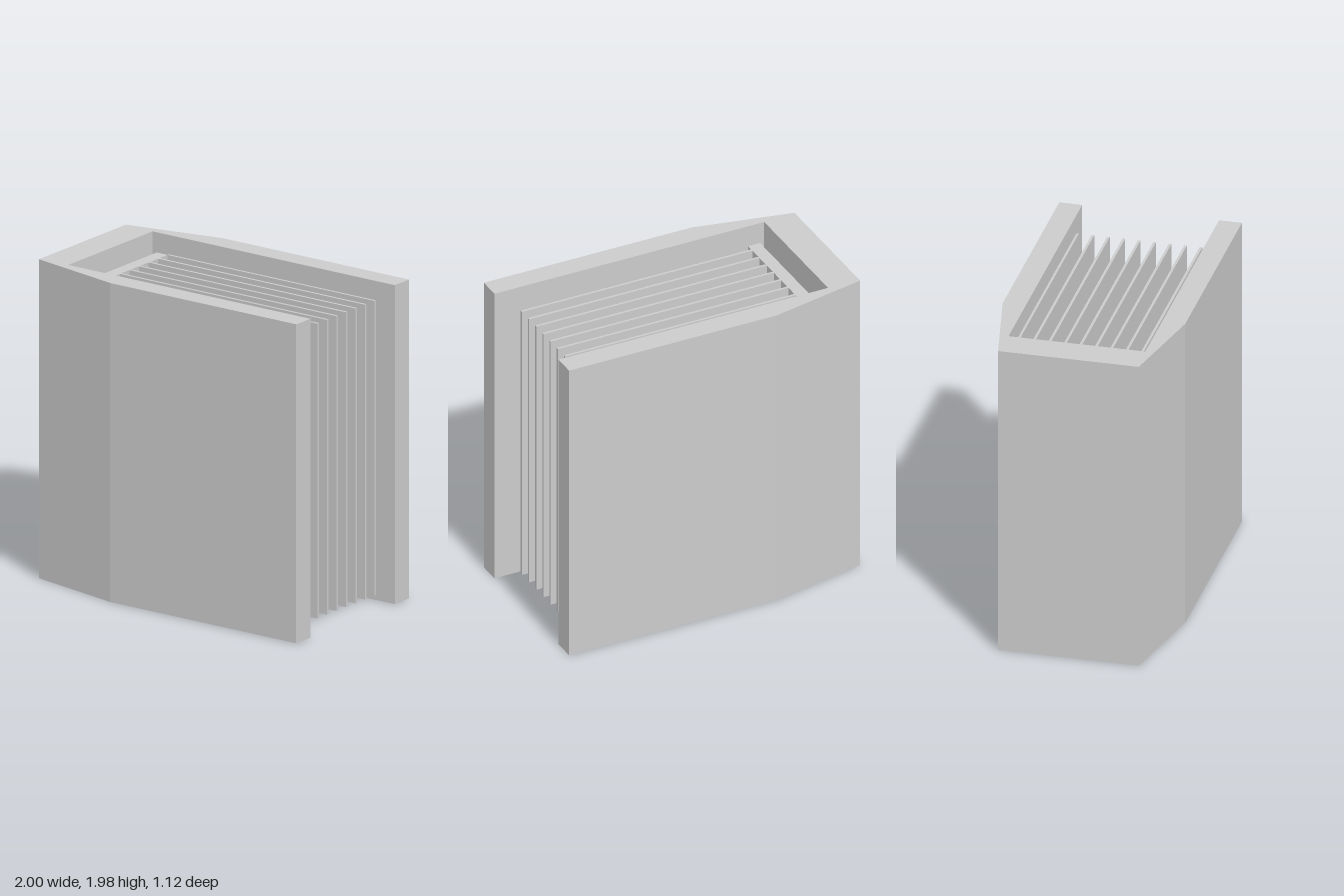
import * as THREE from 'three';

const material = new THREE.MeshStandardMaterial({ color: 0xcccccc, flatShading: true });

// Box given by its minimum and maximum corners
function box(name, min, max) {
  const size = max.map((v, i) => v - min[i]);
  const mesh = new THREE.Mesh(new THREE.BoxGeometry(...size), material);
  mesh.position.set(...max.map((v, i) => (v + min[i]) / 2));
  mesh.name = name;
  return mesh;
}

export function createModel() {
  const model = new THREE.Group();
  model.name = 'book';

  // Cover: C-shaped plan with tapered spine, open towards +x
  const half = [[-1, 0.43], [-0.38, 0.558], [1, 0.558], [1, 0.418], [-0.793, 0.418]];
  const mirrored = half.map(([x, z]) => [x, -z]).reverse();
  const outline = new THREE.Shape([...half, ...mirrored].map(([x, z]) => new THREE.Vector2(x, z)));
  const coverGeometry = new THREE.ExtrudeGeometry(outline, { depth: 1.98, bevelEnabled: false });
  coverGeometry.rotateX(-Math.PI / 2);
  const cover = new THREE.Mesh(coverGeometry, material);
  cover.name = 'cover';
  model.add(cover);

  // Binding block that holds the pages
  model.add(box('binding', [-0.752, 0.05, -0.405], [-0.672, 1.86, 0.392]));

  // Evenly spaced thin pages
  const pages = new THREE.Group();
  pages.name = 'pages';
  for (let i = 0; i < 9; i++) {
    const z = -0.411 + i * 0.0943;
    pages.add(box('page', [-0.672, 0.03, z - 0.008], [0.86, 1.86, z + 0.008]));
  }
  model.add(pages);

  return model;
}
